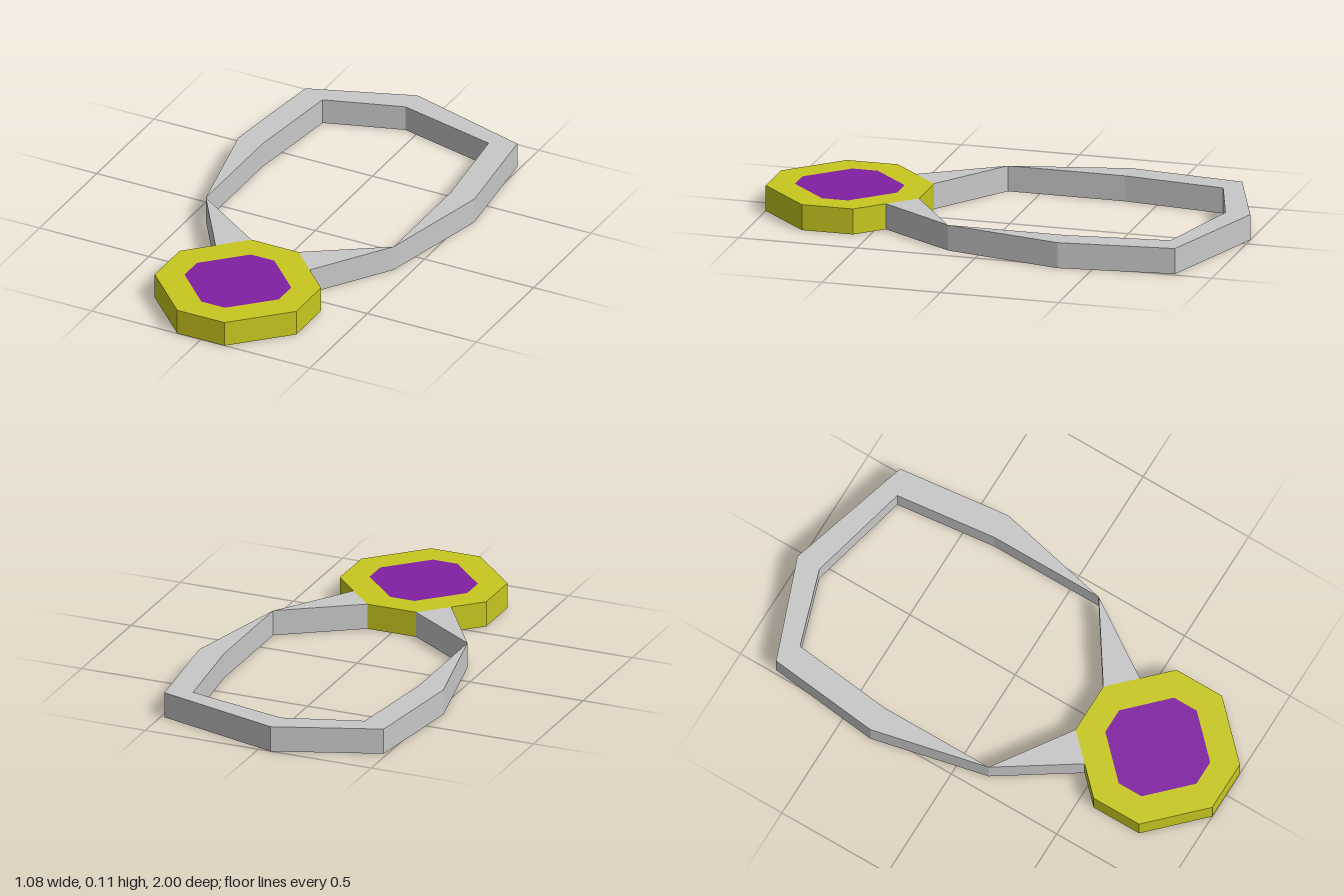
import * as THREE from 'three';
import { mergeGeometries } from 'three/addons/utils/BufferGeometryUtils.js';

const HEIGHT = 0.108;

const material = (name, color) =>
  new THREE.MeshStandardMaterial({ name, color, side: THREE.DoubleSide });

const vectors = (points) => points.map(([x, z]) => new THREE.Vector2(x, -z));

// Flat top face from an [x, z] outline, running anticlockwise seen from above
function topFace(points, hole) {
  const shape = new THREE.Shape(vectors(points));
  if (hole) shape.holes.push(new THREE.Path(vectors(hole)));
  return new THREE.ShapeGeometry(shape)
    .rotateX(-Math.PI / 2)
    .translate(0, HEIGHT, 0)
    .toNonIndexed();
}

// Upright flat walls along the outline, leaving out the listed edges
function walls(points, skip = []) {
  const position = [], uv = [];
  points.forEach(([ax, az], i) => {
    if (skip.includes(i)) return;
    const [bx, bz] = points[(i + 1) % points.length];
    position.push(ax, 0, az, bx, 0, bz, bx, HEIGHT, bz);
    position.push(ax, 0, az, bx, HEIGHT, bz, ax, HEIGHT, az);
    uv.push(0, 0, 1, 0, 1, 1, 0, 0, 1, 1, 0, 1);
  });
  const geometry = new THREE.BufferGeometry();
  geometry.setAttribute('position', new THREE.Float32BufferAttribute(position, 3));
  geometry.setAttribute('uv', new THREE.Float32BufferAttribute(uv, 2));
  geometry.computeVertexNormals();
  return geometry;
}

// Hollow shell: top and walls, open underneath
const shell = (points, skip, hole) =>
  mergeGeometries([topFace(points, hole), walls(points, skip)]);

// Chamfered square: r is the half width, c the half length of a straight side
const octagon = (r, c, z) => [
  [c, r], [r, c], [r, -c], [c, -r], [-c, -r], [-r, -c], [-r, c], [-c, r],
].map(([x, dz]) => [x, z + dz]);

export function createModel() {
  const group = new THREE.Group();
  const silver = material('silver', 0xc8c8c8);
  const gold = material('gold', 0xc8c820);
  const purple = material('purple', 0x8020a2);

  const add = (name, geometry, mat) => {
    const mesh = new THREE.Mesh(geometry, mat);
    mesh.name = name;
    group.add(mesh);
  };

  // Neck chain: an angular band tapering to a point at both front ends
  const outer = [
    [0.43, 0.135], [0.54, -0.36], [0.485, -0.84], [-0.055, -1],
    [-0.485, -0.84], [-0.54, -0.36], [-0.43, 0.135],
  ];
  const inner = [
    [-0.43, -0.36], [-0.38, -0.79], [-0.055, -0.895], [0.38, -0.79], [0.43, -0.36],
  ];
  add('chain', shell([...outer, ...inner]), silver);

  // Wedge links from the chain ends to the pendant
  const link = [[0.43, 0.135], [0.108, 0.352], [0.216, 0.46]];
  const mirrored = link.map(([x, z]) => [-x, z]).reverse();
  add('leftLink', shell(link, [1]), silver);
  add('rightLink', shell(mirrored, [0]), silver);

  // Pendant with its gem set flush in the top
  const gem = octagon(0.216, 0.054, 0.676);
  add('pendant', shell(octagon(0.324, 0.108, 0.676), [], gem), gold);
  add('gem', topFace(gem), purple);

  return group;
}
